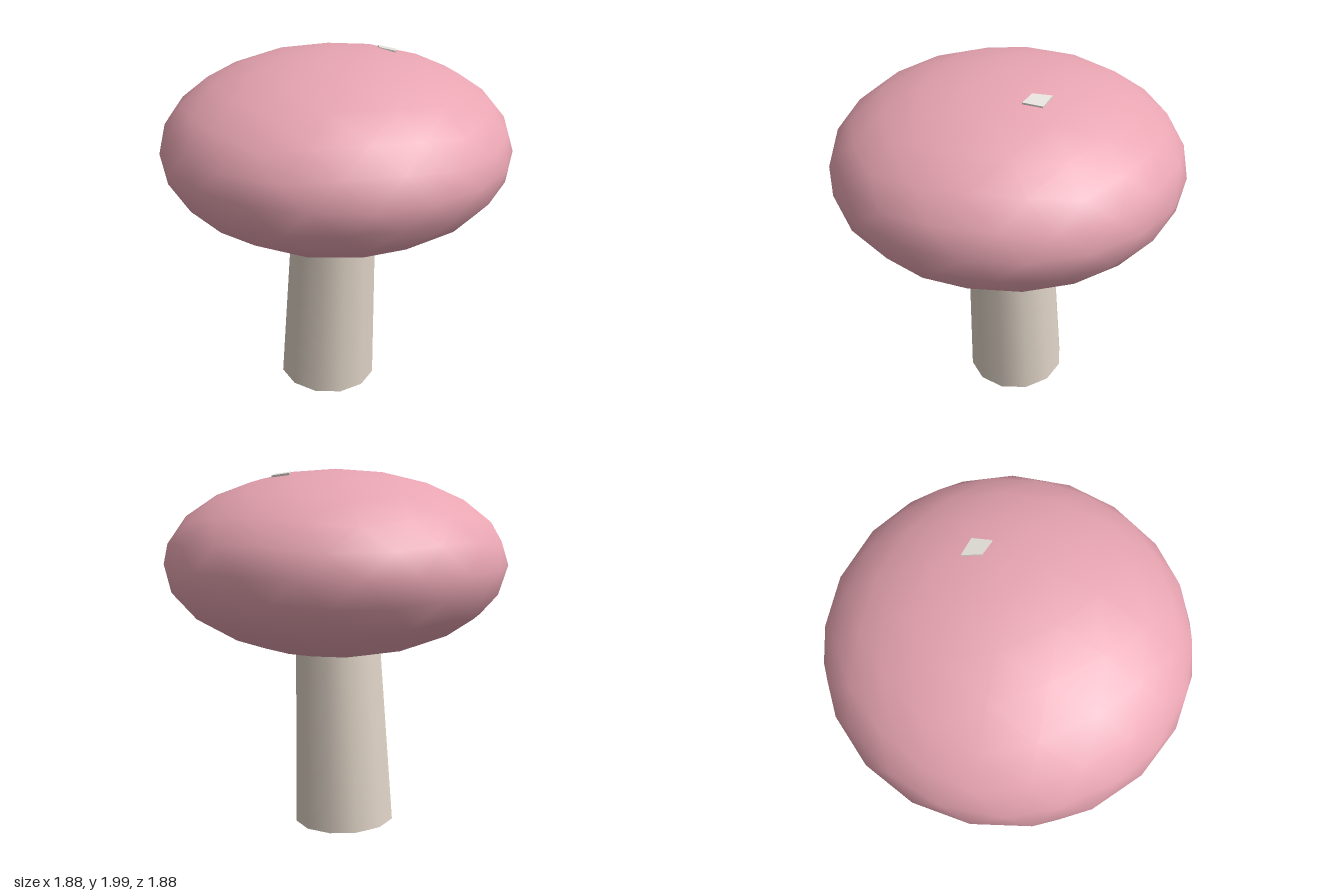
import * as THREE from 'three';

// Pole-up icosahedron, split into four twice and rounded each time
function icoSphere(splits) {
  const verts = [0, 1, 0, 0, -1, 0];
  const h = Math.sqrt(1 / 5);
  for (let i = 0; i < 5; i++) {
    for (const [turn, y] of [[0, h], [0.5, -h]]) {
      const a = (i + turn) * Math.PI * 2 / 5;
      verts.push(2 * h * Math.cos(a), y, 2 * h * Math.sin(a));
    }
  }
  const faces = [];
  for (let i = 0; i < 5; i++) {
    const j = (i + 1) % 5;
    const u = 2 + 2 * i, l = u + 1, u2 = 2 + 2 * j, l2 = u2 + 1;
    faces.push(0, u2, u, u, u2, l, l, u2, l2, 1, l, l2);
  }
  let g = new THREE.PolyhedronGeometry(verts, faces, 1, 1);
  for (let s = 1; s < splits; s++) {
    const p = Array.from(g.attributes.position.array);
    const order = Array.from({ length: p.length / 3 }, (_, i) => i);
    g = new THREE.PolyhedronGeometry(p, order, 1, 1);
  }
  return g;
}

function part(name, geometry, color, side = THREE.FrontSide) {
  const mesh = new THREE.Mesh(geometry, new THREE.MeshStandardMaterial({ color, side }));
  mesh.name = name;
  return mesh;
}

export function createModel() {
  const group = new THREE.Group();
  group.name = 'mushroom';

  // Cap: flattened sphere
  const cap = part('cap', icoSphere(2).scale(0.94, 0.508, 0.94), 0xe8a5b2);
  cap.position.y = 1.492;
  group.add(cap);

  // Stem: tapered open tube, leaning slightly
  const lean = 0.052, length = 1.2;
  const stem = part('stem',
    new THREE.CylinderGeometry(0.235, 0.285, length, 12, 1, true), 0xded2c5, THREE.DoubleSide);
  stem.rotation.z = -lean;
  stem.position.set(-0.075 + Math.sin(lean) * length / 2, 0.02 + Math.cos(lean) * length / 2, 0);
  group.add(stem);

  // Spot: small pale patch lying on the cap
  const outline = new THREE.Shape([[-0.08, 0.02], [-0.01, -0.05], [0.08, -0.02], [0.02, 0.06]]
    .map(([x, y]) => new THREE.Vector2(x, y)));
  const spot = part('spot',
    new THREE.ExtrudeGeometry(outline, { depth: 0.04, bevelEnabled: false }).rotateX(-Math.PI / 2), 0xe6e2dc);
  spot.position.set(0.08, 1.933, -0.3);
  spot.rotation.set(-0.18, 0, -0.05);
  group.add(spot);

  return group;
}
